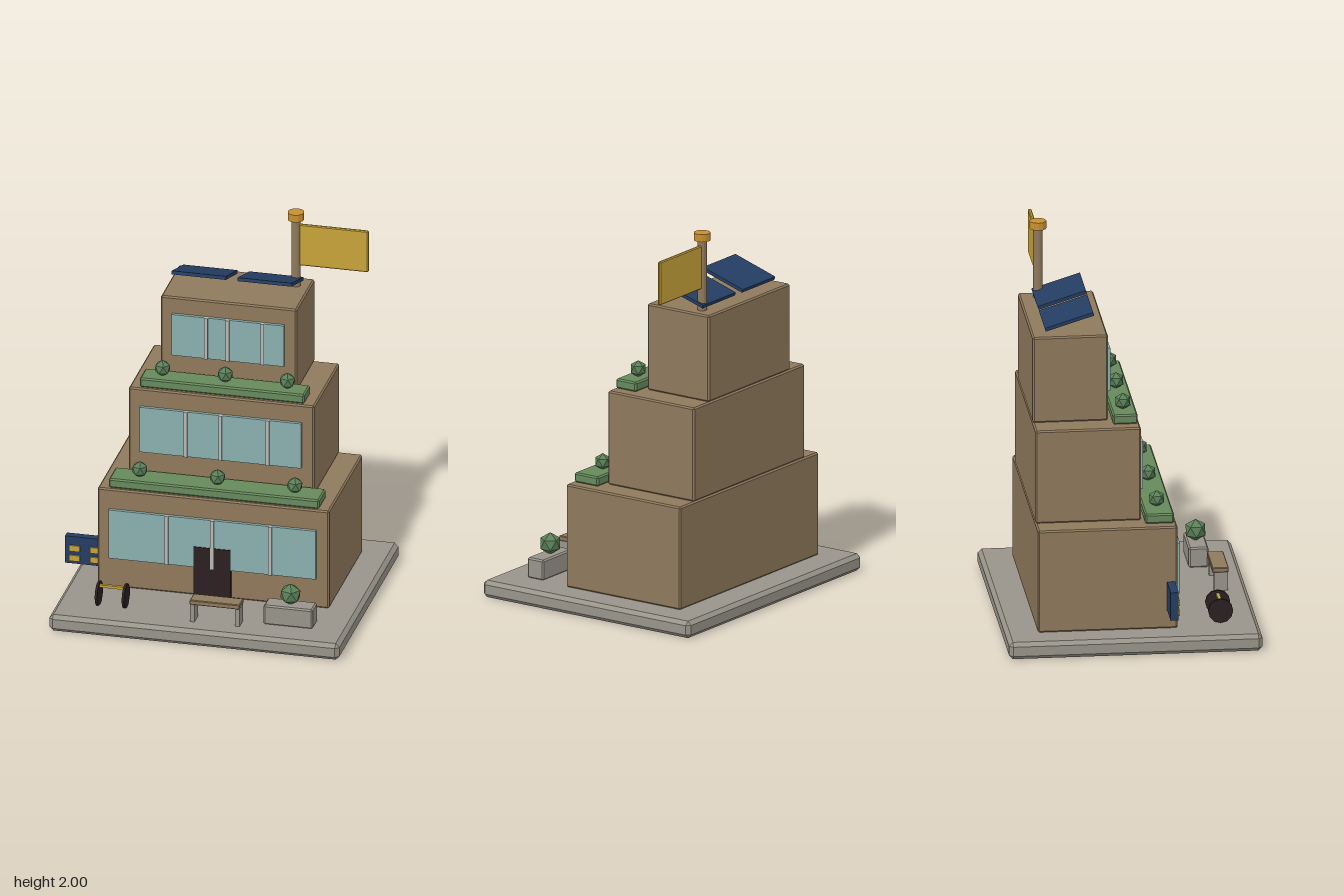
import * as THREE from 'three';
import { ConvexGeometry } from 'three/addons/geometries/ConvexGeometry.js';

export function createModel() {
  const root = new THREE.Group();
  root.name = 'terracedBuilding';

  const mat = (name, color) => {
    const m = new THREE.MeshStandardMaterial({ color, flatShading: true });
    m.name = name;
    return m;
  };
  const concrete = mat('concrete', 0x98948a);
  const wall = mat('brownWall', 0x8f795c);
  const glass = mat('glass', 0x8bb0b0);
  const frame = mat('lightFrame', 0xb9b9b5);
  const planterGreen = mat('planterGreen', 0x66895c);
  const leaf = mat('leafGreen', 0x5b8058);
  const navy = mat('navy', 0x243d63);
  const gold = mat('gold', 0xc8a43a);
  const amber = mat('amber', 0xc8902f);
  const dark = mat('darkBrown', 0x2b2021);

  const add = (name, geometry, material, x, y, z, parent = root) => {
    const mesh = new THREE.Mesh(geometry, material);
    mesh.name = name;
    mesh.position.set(x, y, z);
    parent.add(mesh);
    return mesh;
  };

  // Box with chamfered edges
  const chamferBox = (w, h, d, c) => {
    const pts = [];
    for (const sx of [-1, 1]) for (const sy of [-1, 1]) for (const sz of [-1, 1]) {
      const x = w / 2, y = h / 2, z = d / 2;
      pts.push(
        new THREE.Vector3(sx * x, sy * (y - c), sz * (z - c)),
        new THREE.Vector3(sx * (x - c), sy * y, sz * (z - c)),
        new THREE.Vector3(sx * (x - c), sy * (y - c), sz * z));
    }
    return new ConvexGeometry(pts);
  };

  // Box given by its limits; c > 0 chamfers the edges
  const span = (name, material, [x0, x1], [y0, y1], [z0, z1], c = 0, parent = root) => {
    const w = x1 - x0, h = y1 - y0, d = z1 - z0;
    const g = c ? chamferBox(w, h, d, c) : new THREE.BoxGeometry(w, h, d);
    return add(name, g, material, (x0 + x1) / 2, (y0 + y1) / 2, (z0 + z1) / 2, parent);
  };

  // Faceted bush with a vertex pointing up
  const bush = (r, x, y, z) => {
    const g = new THREE.IcosahedronGeometry(r, 0);
    g.rotateZ(-Math.atan(2 / (1 + Math.sqrt(5))));
    add('bush', g, leaf, x, y, z);
  };

  // Ground slab
  span('baseSlab', concrete, [-0.75, 0.768], [0, 0.09], [-0.65, 0.645], 0.02);

  // Three stepped floors with window band and mullions
  const floors = [
    { x: [-0.597, 0.615], y: [0.09, 0.635], z: 0.227, wx: [-0.535, 0.55], wy: [0.255, 0.525], bars: [-0.23, 0.008, 0.312] },
    { x: [-0.477, 0.495], y: [0.635, 1.132], z: 0.052, wx: [-0.415, 0.43], wy: [0.785, 1.035], bars: [-0.173, 0.008, 0.255] },
    { x: [-0.347, 0.365], y: [1.132, 1.59], z: -0.102, wx: [-0.285, 0.302], wy: [1.272, 1.5], bars: [-0.105, 0.008, 0.19] },
  ];
  for (const f of floors) {
    const floor = new THREE.Group();
    floor.name = 'floor';
    root.add(floor);
    span('walls', wall, f.x, f.y, [-0.487, f.z], 0.008, floor);
    span('windowBand', glass, f.wx, f.wy, [f.z - 0.005, f.z + 0.018], 0, floor);
    for (const x of f.bars) {
      span('mullion', frame, [x - 0.009, x + 0.009], f.wy, [f.z, f.z + 0.026], 0, floor);
    }
  }

  // Front door
  span('door', dark, [-0.09, 0.105], [0.09, 0.37], [0.22, 0.249]);

  // Terrace planters with bushes
  span('terracePlanter', planterGreen, [-0.542, 0.56], [0.635, 0.686], [0.067, 0.215], 0.008);
  for (const x of [-0.397, 0.01, 0.415]) bush(0.044, x, 0.722, 0.14);
  span('terracePlanter', planterGreen, [-0.423, 0.44], [1.134, 1.185], [-0.085, 0.042], 0.008);
  for (const x of [-0.318, 0.01, 0.335]) bush(0.044, x, 1.224, -0.024);

  // Tilted solar panels
  for (const x of [-0.165, 0.18]) {
    add('solarPanel', new THREE.BoxGeometry(0.284, 0.018, 0.26), navy, x, 1.655, -0.295).rotation.x = -0.3;
  }

  // Flagpole, cap and flag
  add('flagpole', new THREE.CylinderGeometry(0.024, 0.024, 0.39, 12), wall, 0.29, 1.78, -0.392);
  add('poleCap', new THREE.CylinderGeometry(0.043, 0.043, 0.04, 12), amber, 0.29, 1.98, -0.392);
  span('flag', gold, [0.3, 0.67], [1.705, 1.935], [-0.402, -0.384], 0.005);

  // Side sign with four gold plates
  span('sign', navy, [-0.77, -0.58], [0.19, 0.34], [0.172, 0.213]);
  for (const x of [-0.72, -0.61]) for (const y of [0.222, 0.276]) {
    span('signPlate', gold, [x - 0.028, x + 0.028], [y - 0.016, y + 0.016], [0.212, 0.221]);
  }

  // Bike stand: two discs joined by a bar
  const disc = new THREE.CylinderGeometry(0.064, 0.064, 0.013, 12).rotateZ(Math.PI / 2);
  for (const x of [-0.534, -0.393]) add('wheel', disc, dark, x, 0.154, 0.453);
  span('crossBar', gold, [-0.53, -0.395], [0.189, 0.203], [0.444, 0.461]);

  // Bench
  span('benchSeat', wall, [-0.036, 0.226], [0.186, 0.212], [0.465, 0.549], 0.004);
  for (const x of [-0.023, 0.213]) {
    span('benchLeg', concrete, [x - 0.012, x + 0.012], [0.088, 0.187], [0.474, 0.544]);
  }

  // Ground planter with larger bush
  span('groundPlanter', concrete, [0.335, 0.592], [0.088, 0.196], [0.385, 0.486], 0.008);
  bush(0.058, 0.464, 0.249, 0.433);

  return root;
}
